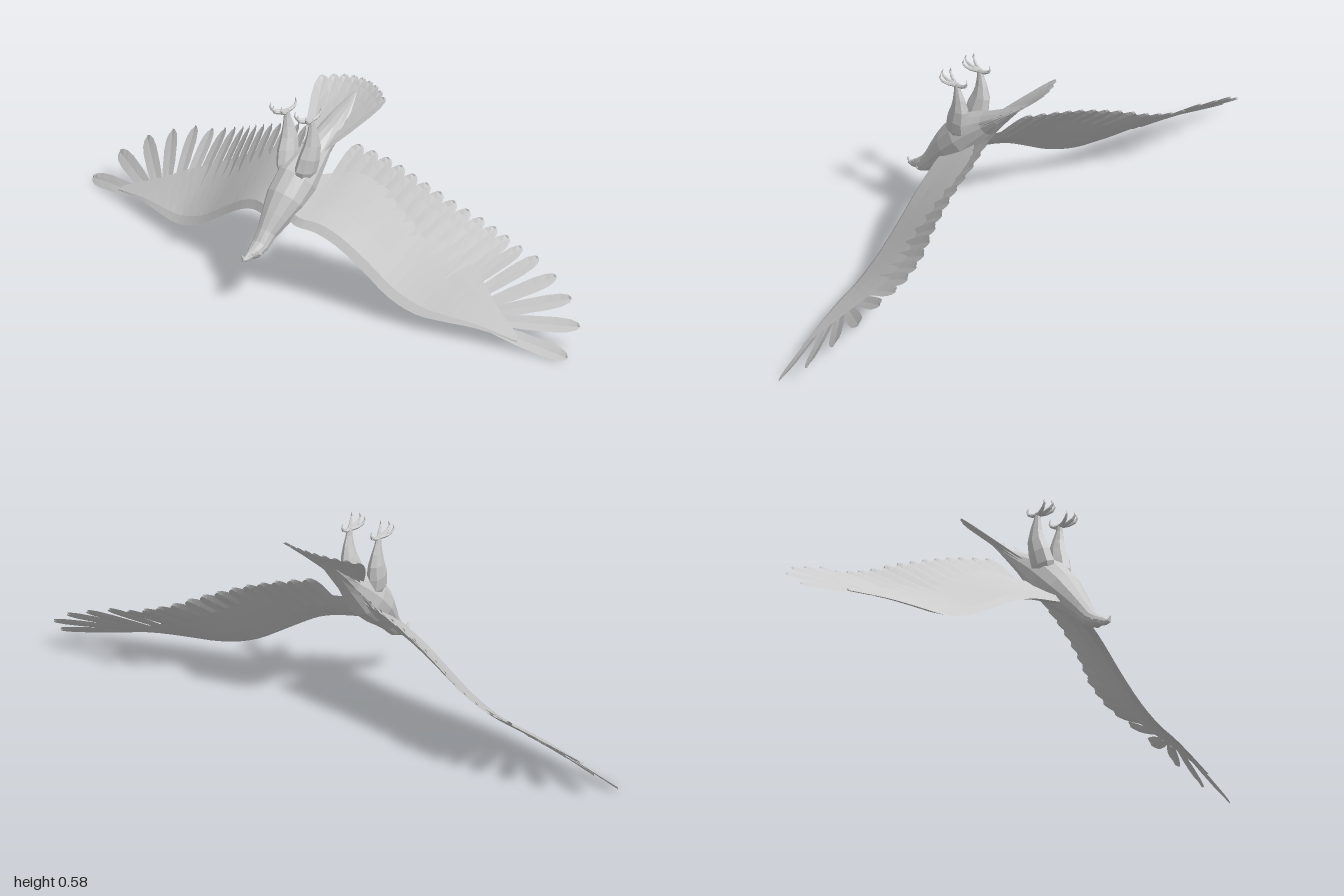
import * as THREE from 'three';
import { mergeGeometries } from 'three/addons/utils/BufferGeometryUtils.js';

const V = (x, y, z) => new THREE.Vector3(x, y, z);
const solid = new THREE.MeshStandardMaterial({ color: 0xcccccc, flatShading: true });
const thin = new THREE.MeshStandardMaterial({ color: 0xcccccc, flatShading: true, side: THREE.DoubleSide });

function geometryFrom(points, index) {
  const g = new THREE.BufferGeometry().setFromPoints(points);
  g.setIndex(index);
  g.computeVertexNormals();
  return g;
}

// Closed skin over rings of equal length, capped at both ends
function loft(rings) {
  const n = rings[0].length, last = rings.length - 1, pts = rings.flat(), idx = [];
  const centre = r => r.reduce((s, p) => s.add(p), V(0, 0, 0)).divideScalar(n);
  const c0 = pts.length, c1 = c0 + 1;
  pts.push(centre(rings[0]), centre(rings[last]));
  for (let k = 0; k < n; k++) {
    const k2 = (k + 1) % n;
    for (let i = 0; i < last; i++) {
      const a = i * n + k, b = i * n + k2;
      idx.push(a, b, a + n, b, b + n, a + n);
    }
    idx.push(c0, k2, k, c1, last * n + k, last * n + k2);
  }
  return geometryFrom(pts, idx);
}

// Oval tube; each row is [x, y, z, half width, half depth]
function tube(rows, sides) {
  const c = rows.map(r => V(r[0], r[1], r[2]));
  return loft(rows.map((r, i) => {
    const t = c[Math.min(i + 1, c.length - 1)].clone().sub(c[Math.max(i - 1, 0)]).normalize();
    const side = V(1, 0, 0).addScaledVector(t, -t.x).normalize();
    const up = t.clone().cross(side);
    return Array.from({ length: sides }, (_, k) => {
      const a = (k / sides) * Math.PI * 2;
      return c[i].clone().addScaledVector(side, Math.cos(a) * r[3])
        .addScaledVector(up, Math.sin(a) * r[4]);
    });
  }));
}

// Thin blade with a raised rib, tilted a little so that neighbours overlap
function feather(root, tip, span, half) {
  const axis = tip.clone().sub(root);
  const normal = axis.clone().cross(span).normalize();
  const wide = normal.clone().cross(axis).normalize();
  const profile = [[0, 0.65], [0.4, 0.95], [0.72, 1], [0.88, 0.85], [0.97, 0.5], [1, 0.15]];
  const pts = [], idx = [];
  profile.forEach(([u, w], i) => {
    for (let k = -1; k <= 1; k++) {
      pts.push(root.clone().addScaledVector(axis, u).addScaledVector(wide, k * w * half)
        .addScaledVector(normal, k * 0.003 * u + (k ? 0 : 0.002)));
    }
    if (i) for (let k = 0; k < 2; k++) {
      const b = i * 3 + k, a = b - 3;
      idx.push(a, a + 1, b, a + 1, b + 1, b);
    }
  });
  return geometryFrom(pts, idx);
}

// Row of feathers; the span of each follows the line of tips
function featherRow(roots, tips, half) {
  return mergeGeometries(tips.map((tip, i) => {
    const span = tips[Math.min(i + 1, tips.length - 1)].clone().sub(tips[Math.max(i - 1, 0)]);
    return feather(roots[i], tip, span, half);
  }));
}

function mirrored(geometry) {
  const g = geometry.clone().scale(-1, 1, 1), a = g.index.array;
  for (let i = 0; i < a.length; i += 3) [a[i], a[i + 1]] = [a[i + 1], a[i]];
  g.computeVertexNormals();
  return g;
}

const vectors = list => list.map(p => V(...p));
const curve = list => new THREE.CatmullRomCurve3(vectors(list));

export function createModel() {
  const model = new THREE.Group();
  const add = (name, geometry, material = solid) => {
    const m = new THREE.Mesh(geometry, material);
    m.name = name;
    model.add(m);
  };
  const addPair = (name, geometry, material) => {
    add('left' + name, geometry, material);
    add('right' + name, mirrored(geometry), material);
  };

  // Body from the head to the tail root
  add('body', tube([
    [0, 0.143, 0.228, 0.013, 0.014], [0, 0.148, 0.21, 0.023, 0.021], [0, 0.163, 0.185, 0.028, 0.026],
    [0, 0.195, 0.157, 0.031, 0.032], [0, 0.235, 0.122, 0.046, 0.045], [0, 0.28, 0.08, 0.062, 0.06],
    [0, 0.33, 0.03, 0.064, 0.066], [0, 0.372, -0.015, 0.054, 0.054], [0, 0.41, -0.062, 0.042, 0.036],
    [0, 0.455, -0.115, 0.042, 0.02], [0, 0.5, -0.167, 0.03, 0.008], [0, 0.545, -0.22, 0.004, 0.001],
  ], 12));

  // Hooked beak and eyes
  add('beak', tube([
    [0, 0.145, 0.222, 0.014, 0.016], [0, 0.136, 0.242, 0.009, 0.011],
    [0, 0.136, 0.255, 0.006, 0.008], [0, 0.151, 0.262, 0.001, 0.001],
  ], 8));
  addPair('Eye', new THREE.SphereGeometry(0.005, 8, 6).translate(0.021, 0.147, 0.206));

  // Wing skin between smooth leading and trailing edges
  const leading = curve([
    [0, 0.25, 0.09], [0.06, 0.222, 0.105], [0.13, 0.212, 0.085], [0.2, 0.187, 0.07], [0.3, 0.13, 0.055],
    [0.4, 0.072, 0.047], [0.5, 0.042, 0.033], [0.6, 0.04, 0.01], [0.7, 0.04, -0.02], [0.84, 0.026, -0.055],
  ]);
  const trailing = curve([
    [0, 0.33, 0], [0.07, 0.345, -0.06], [0.13, 0.355, -0.095], [0.22, 0.33, -0.115], [0.32, 0.285, -0.13],
    [0.42, 0.23, -0.145], [0.52, 0.18, -0.15], [0.62, 0.135, -0.135], [0.7, 0.095, -0.105], [0.83, 0.04, -0.07],
  ]);
  const sections = 27;
  addPair('Wing', loft(Array.from({ length: sections + 1 }, (_, i) => {
    const lead = leading.getPoint(i / sections), trail = trailing.getPoint(i / sections);
    const thick = 0.02 * (1 - 0.85 * i / sections);
    const at = (u, h) => lead.clone().lerp(trail, u).add(V(0.3, 0.76, 0.6).multiplyScalar(h * thick));
    return [at(0, 0), at(0.12, -0.8), at(0.4, -1), at(0.75, -0.5), at(1, 0), at(0.75, 0.2), at(0.4, 0.4), at(0.12, 0.6)];
  })), thin);

  // Inner flight feathers
  const innerCount = 12;
  addPair('InnerFeathers', featherRow(
    curve([[0.08, 0.29, -0.015], [0.17, 0.275, -0.04], [0.25, 0.247, -0.045], [0.36, 0.191, -0.058], [0.45, 0.148, -0.07], [0.53, 0.122, -0.078]])
      .getSpacedPoints(innerCount - 1),
    curve([[0.1, 0.42, -0.14], [0.2, 0.395, -0.168], [0.3, 0.36, -0.185], [0.42, 0.31, -0.215], [0.52, 0.265, -0.25], [0.6, 0.235, -0.262]])
      .getSpacedPoints(innerCount - 1),
    0.027), thin);

  // Long separated feathers of the wing tip
  addPair('OuterFeathers', featherRow(
    vectors([[0.575, 0.108, -0.08], [0.62, 0.095, -0.085], [0.66, 0.08, -0.08], [0.69, 0.07, -0.075], [0.72, 0.06, -0.065], [0.74, 0.046, -0.047]]),
    vectors([[0.655, 0.218, -0.262], [0.725, 0.205, -0.262], [0.81, 0.172, -0.252], [0.895, 0.132, -0.23], [0.97, 0.075, -0.19], [1, 0.007, -0.108]]),
    0.025), thin);

  // Tail fan, its sides curled towards the belly
  const tailRoots = [], tailTips = [];
  for (let i = -4; i <= 4; i++) {
    const u = i / 4, c = u * u;
    tailRoots.push(V(u * 0.03, 0.4 + c * 0.015, -0.066 + c * 0.015));
    tailTips.push(V(u * 0.13, 0.574 - c * 0.015, -0.252 + c * 0.042));
  }
  add('tailFeathers', featherRow(tailRoots, tailTips, 0.025), thin);

  // Feathered thighs, narrowing to the ankle
  addPair('Leg', tube([
    [0.03, 0.33, 0.035, 0.016, 0.03], [0.038, 0.37, 0.032, 0.026, 0.042], [0.045, 0.41, 0.024, 0.026, 0.039],
    [0.049, 0.45, 0.015, 0.021, 0.031], [0.051, 0.485, 0.016, 0.014, 0.021], [0.052, 0.515, 0.02, 0.009, 0.012],
    [0.052, 0.538, 0.023, 0.007, 0.008],
  ], 8));

  // Toes with curved claws: three forward and one back
  const toe = (dx, dz) => tube([[0, 0.533, 0.007], [0.5, 0.535, 0.006], [0.85, 0.542, 0.005],
    [1, 0.553, 0.003], [0.93, 0.566, 0.0006]]
    .map(([u, y, r]) => [0.052 + u * dx, y, 0.023 + u * dz, r, r]), 6);
  addPair('Foot', mergeGeometries([toe(-0.024, 0.046), toe(0, 0.058), toe(0.024, 0.046), toe(0, -0.04)]));

  return model;
}
